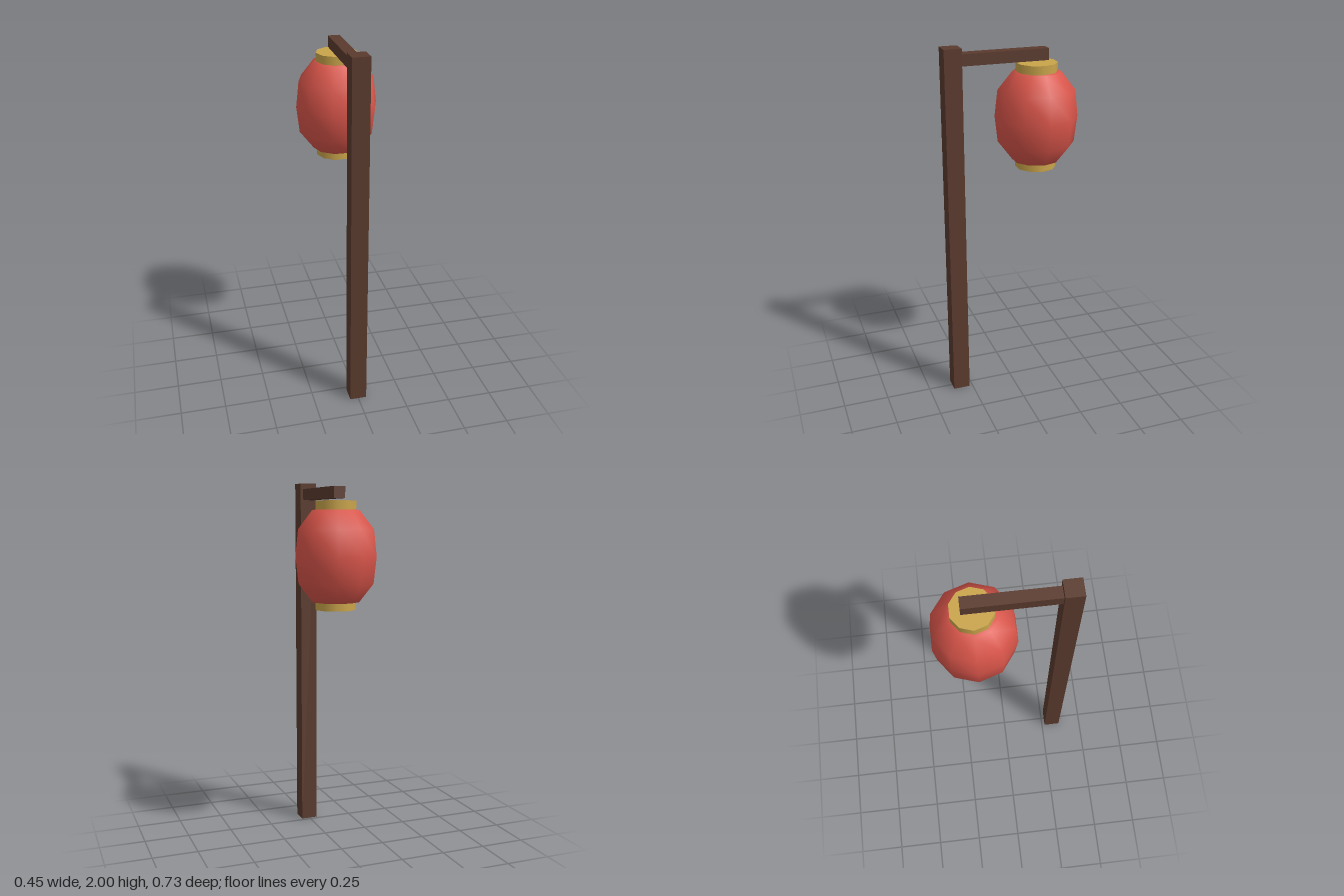
import * as THREE from 'three';

const SIDES = 10;
const TURN = Math.PI / 10; // puts polygon corners on the x axis

const material = (name, color) => {
  const m = new THREE.MeshStandardMaterial({ color });
  m.name = name;
  return m;
};

export function createModel() {
  const wood = material('dark wood', 0x5a3a2d);
  const red = material('red paper', 0xd9554a);
  const gold = material('gold trim', 0xc9a44a);
  const model = new THREE.Group();
  model.name = 'lanternPost';

  const add = (parent, name, geometry, mat, x, y, z) => {
    const mesh = new THREE.Mesh(geometry, mat);
    mesh.name = name;
    mesh.position.set(x, y, z);
    parent.add(mesh);
    return mesh;
  };

  // Upright post and the arm reaching backwards
  add(model, 'post', new THREE.BoxGeometry(0.094, 2, 0.094), wood, 0, 1, 0.315);
  add(model, 'arm', new THREE.BoxGeometry(0.063, 0.062, 0.48), wood, 0, 1.938, 0.034);

  // Hanging lantern, centred on its widest ring
  const lantern = new THREE.Group();
  lantern.name = 'lantern';
  lantern.position.set(0, 1.605, -0.151);
  model.add(lantern);

  // Barrel-shaped paper body
  const profile = [
    [0.09, -0.246], [0.13, -0.241], [0.207, -0.142], [0.223, 0],
    [0.207, 0.142], [0.13, 0.241], [0.09, 0.246],
  ].map(([r, y]) => new THREE.Vector2(r, y));
  add(lantern, 'paperBody', new THREE.LatheGeometry(profile, SIDES, TURN), red, 0, 0, 0);

  // Matching caps above and below
  for (const [name, y] of [['topCap', 0.266], ['bottomCap', -0.259]]) {
    const cap = new THREE.CylinderGeometry(0.111, 0.111, 0.048, SIDES, 1, false, TURN);
    add(lantern, name, cap, gold, 0, y, 0);
  }

  return model;
}
